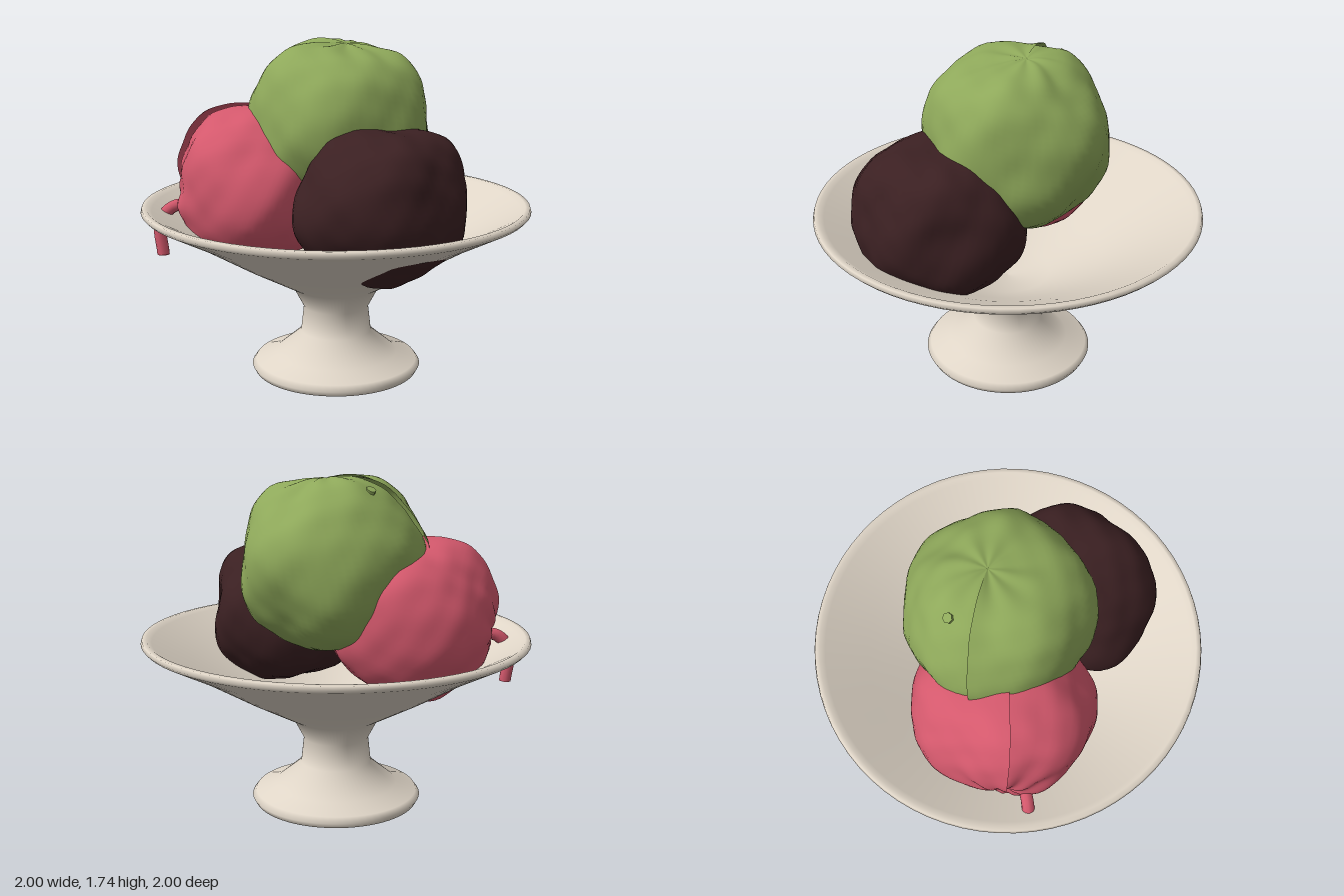
import * as THREE from 'three';

const paint = (name, color) => {
  const m = new THREE.MeshStandardMaterial({ color });
  m.name = name;
  return m;
};

// Lumpy fruit: boxy ellipsoid with a pinched, pleated pole and one overlapping skin seam.
// Each bulge is [direction, height, angular width]; a negative height makes a hollow.
function fruitGeometry({ center, radii, bottom, power, pole, seam, phase, step, lump, pinch, pleat, bulges }) {
  const W = 72, H = 48;
  const geo = new THREE.SphereGeometry(1, W, H);
  const pos = geo.attributes.position;
  const Y = new THREE.Vector3(...pole).normalize();
  const s = new THREE.Vector3(...seam);
  const X = s.addScaledVector(Y, -s.dot(Y)).normalize().negate();
  const basis = new THREE.Matrix4().makeBasis(X, Y, X.clone().cross(Y));
  const bumps = bulges.map(([dir, h, w]) => [new THREE.Vector3(...dir), h, w]);
  const d = new THREE.Vector3();
  for (let i = 0; i < pos.count; i++) {
    // the skin runs a little past a full turn, tucking under its own start
    const phi = (i % (W + 1)) / W * (Math.PI * 2 + 0.12);
    const theta = Math.floor(i / (W + 1)) / H * Math.PI;
    d.set(-Math.cos(phi) * Math.sin(theta), Math.cos(theta), Math.sin(phi) * Math.sin(theta));
    d.applyMatrix4(basis);
    const ry = d.y < 0 ? bottom : radii[1];
    let r = (Math.abs(d.x / radii[0]) ** power + Math.abs(d.y / ry) ** power
      + Math.abs(d.z / radii[2]) ** power) ** (-1 / power);
    // broad lumps and finer dimples
    r += lump * (Math.sin(5 * d.x + phase) * Math.cos(4.5 * d.y - phase) + 0.7 * Math.sin(6 * d.z + 3 * d.y + 2 * phase));
    r += lump * 0.4 * Math.sin(12 * d.x + phase) * Math.sin(11 * d.y + 2) * Math.cos(12 * d.z);
    for (const [dir, h, w] of bumps) r += h * Math.exp(-((d.angleTo(dir) / w) ** 2));
    // pinch, pleats and raised seam lip
    r -= pinch[0] * Math.exp(-((theta / pinch[1]) ** 2));
    r += pleat * Math.cos(8 * phi) * Math.sin(theta) * Math.exp(-((theta / 0.6) ** 2));
    r += step * Math.exp(-phi / 0.35) * Math.sin(theta) * Math.exp(-((theta / 1.6) ** 4));
    pos.setXYZ(i, center[0] + d.x * r, center[1] + d.y * r, center[2] + d.z * r);
  }
  geo.computeVertexNormals();
  return geo;
}

export function createModel() {
  const group = new THREE.Group();
  const add = (name, geo, mat) => {
    const mesh = new THREE.Mesh(geo, mat);
    mesh.name = name;
    group.add(mesh);
    return mesh;
  };

  const ceramic = paint('cream ceramic', 0xdfd5c7);
  const green = paint('green skin', 0x8ea85a);
  const pink = paint('pink skin', 0xd3586c);
  const dark = paint('dark plum skin', 0x3b2022);
  for (const m of [green, pink, dark]) m.side = THREE.DoubleSide;

  // Footed bowl: base, stem, flared outside, rolled rim, inside
  const profile = [
    [0, 0], [0.41, 0], [0.43, 0.004], [0.445, 0.032], [0.425, 0.06], [0.32, 0.095],
    [0.185, 0.21], [0.17, 0.345], [0.225, 0.45], [0.5, 0.6], [0.76, 0.755], [0.985, 0.872],
    [1, 0.888], [0.994, 0.908], [0.97, 0.91], [0.945, 0.893],
    [0.74, 0.78], [0.49, 0.635], [0.22, 0.495], [0, 0.465],
  ].map(([x, y]) => new THREE.Vector2(x, y));
  add('footedBowl', new THREE.LatheGeometry(profile, 72), ceramic);

  // Three fruits
  add('greenFruit', fruitGeometry({
    center: [-0.005, 1.295, -0.042], radii: [0.465, 0.435, 0.465], bottom: 0.45, power: 2.15,
    pole: [0, 0.43, -0.06], seam: [-1, 0, 0.22], phase: 0.6, step: 0.04, lump: 0.017,
    pinch: [0.005, 0.1], pleat: 0.02,
    bulges: [[[0, 0.25, 1], -0.025, 0.5], [[-0.1, -0.4, -0.8], -0.02, 0.4], [[0, 0.7, 0.6], 0.02, 0.4]],
  }), green);
  add('pinkFruit', fruitGeometry({
    center: [-0.37, 1.0, 0.16], radii: [0.41, 0.4, 0.46], bottom: 0.415, power: 2.12,
    pole: [-0.38, -0.09, 0.21], seam: [0, 1, 0.1], phase: 2.1, step: 0.05, lump: 0.016,
    pinch: [0.04, 0.15], pleat: 0.024,
    bulges: [[[-0.7, 0, 0.7], -0.045, 0.4], [[0.6, 0, 0.6], 0.025, 0.4]],
  }), pink);
  add('darkFruit', fruitGeometry({
    center: [0.4, 0.965, 0.15], radii: [0.39, 0.395, 0.43], bottom: 0.375, power: 2.18,
    pole: [0.13, -0.33, 0.03], seam: [-1, 0, 0], phase: 4.2, step: 0, lump: 0.018,
    pinch: [0.1, 0.13], pleat: 0,
    bulges: [[[-0.7, -0.1, 0.8], 0.06, 0.45], [[0.75, 0, -0.65], -0.025, 0.4], [[0.8, -0.6, 0.1], -0.03, 0.35]],
  }), dark);

  // Curved stem of the pink fruit, hooking down past the bowl wall
  const stemPath = new THREE.CatmullRomCurve3([
    [-0.56, 0.87, 0.36], [-0.69, 0.885, 0.47], [-0.75, 0.8, 0.515], [-0.735, 0.63, 0.52],
  ].map((p) => new THREE.Vector3(...p)));
  add('pinkStem', new THREE.TubeGeometry(stemPath, 20, 0.032, 10), pink);
  const stemEnd = add('pinkStemEnd', new THREE.CircleGeometry(0.032, 10), pink);
  stemEnd.position.set(-0.735, 0.63, 0.52);
  stemEnd.rotation.x = Math.PI / 2;

  // Stem tip just breaking through the green skin
  const tip = add('greenStemTip', new THREE.CylinderGeometry(0.025, 0.028, 0.14, 7), green);
  tip.position.set(-0.255, 1.618, -0.14);
  tip.quaternion.setFromUnitVectors(new THREE.Vector3(0, 1, 0), new THREE.Vector3(-0.45, 0.85, -0.2).normalize());

  return group;
}
